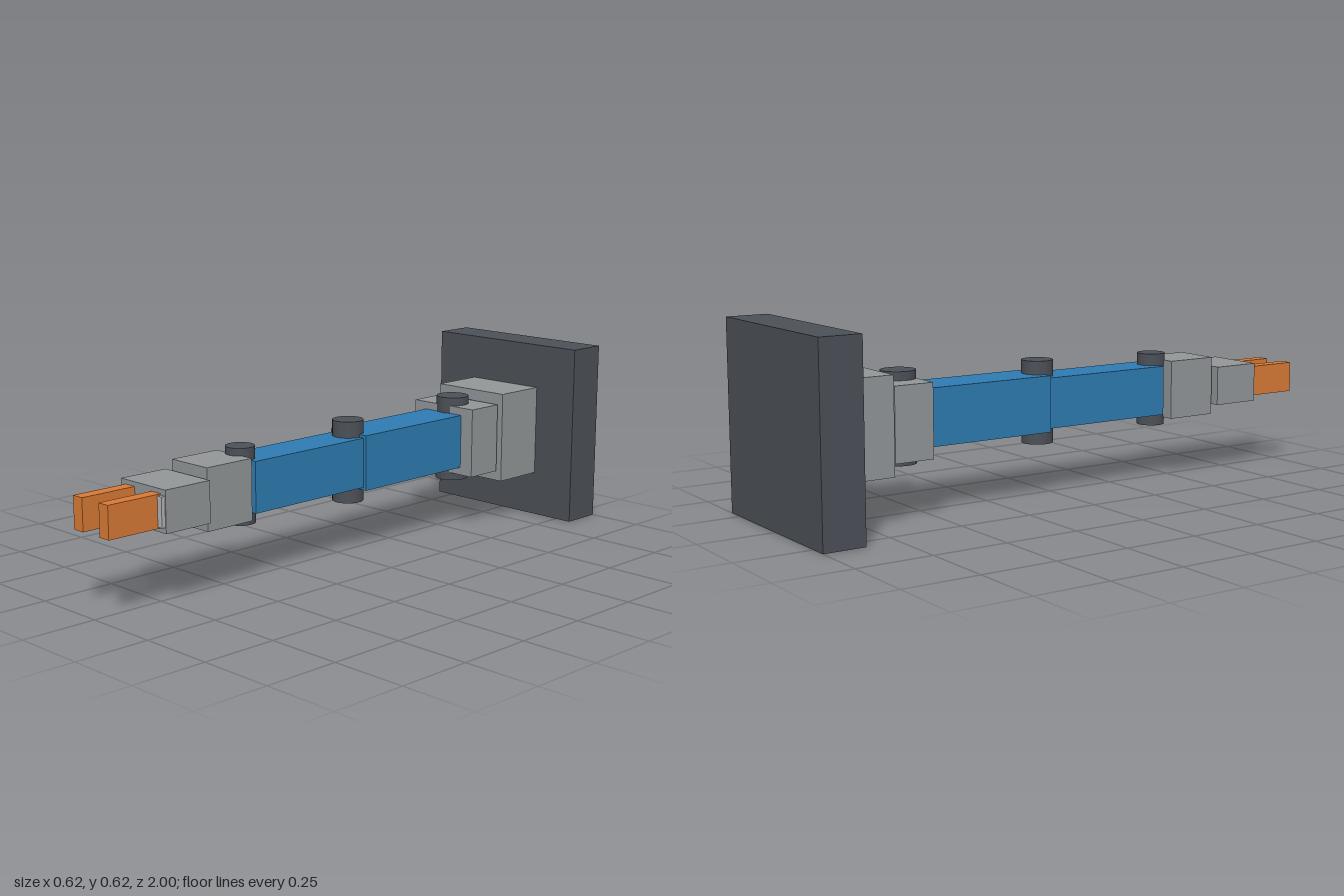
import * as THREE from 'three';

const mat = (color) => new THREE.MeshStandardMaterial({ color });

export function createModel() {
  const model = new THREE.Group();
  const dark = mat(0x4c5158), grey = mat(0x939799), light = mat(0xb4b6b8);
  const blue = mat(0x2f7db3), orange = mat(0xda7b36);
  const axisY = 0.31; // height of the arm's centre line

  const add = (name, geometry, material, x, y, z) => {
    const mesh = new THREE.Mesh(geometry, material);
    mesh.name = name;
    mesh.position.set(x, y, z);
    model.add(mesh);
    return mesh;
  };
  // Box centred on the arm's line, running from z0 to z1
  const block = (name, material, w, h, z0, z1, x = 0) =>
    add(name, new THREE.BoxGeometry(w, h, z1 - z0), material, x, axisY, (z0 + z1) / 2);
  // Upright pivot pin through the arm
  const pivot = (name, r, h, z) =>
    add(name, new THREE.CylinderGeometry(r, r, h, 32), dark, 0, axisY, z);

  // Wall mount
  block('mountingPlate', dark, 0.62, 0.62, -1, -0.86);
  block('baseHousing', grey, 0.294, 0.313, -0.86, -0.67);

  // Turning shoulder
  add('shoulderTurntable', new THREE.CylinderGeometry(0.118, 0.118, 0.04, 32), blue, 0, axisY, -0.665)
    .rotation.x = Math.PI / 2;
  block('shoulderBlock', grey, 0.266, 0.239, -0.66, -0.525);
  pivot('shoulderPivot', 0.056, 0.295, -0.572);

  // Arm links and their joints
  block('upperArm', blue, 0.164, 0.186, -0.57, -0.052);
  pivot('elbowPivot', 0.052, 0.275, -0.05);
  block('forearm', blue, 0.142, 0.167, -0.052, 0.425);
  pivot('wristPivot', 0.047, 0.247, 0.425);

  // Wrist and gripper
  block('wristBlock', grey, 0.164, 0.199, 0.45, 0.63);
  block('gripperBody', grey, 0.21, 0.133, 0.638, 0.808);
  block('gripperSensor', light, 0.042, 0.095, 0.79, 0.821, 0.081);
  for (const side of [-1, 1]) {
    block(side > 0 ? 'leftFinger' : 'rightFinger', orange, 0.043, 0.104, 0.808, 1, side * 0.0615);
  }
  return model;
}
